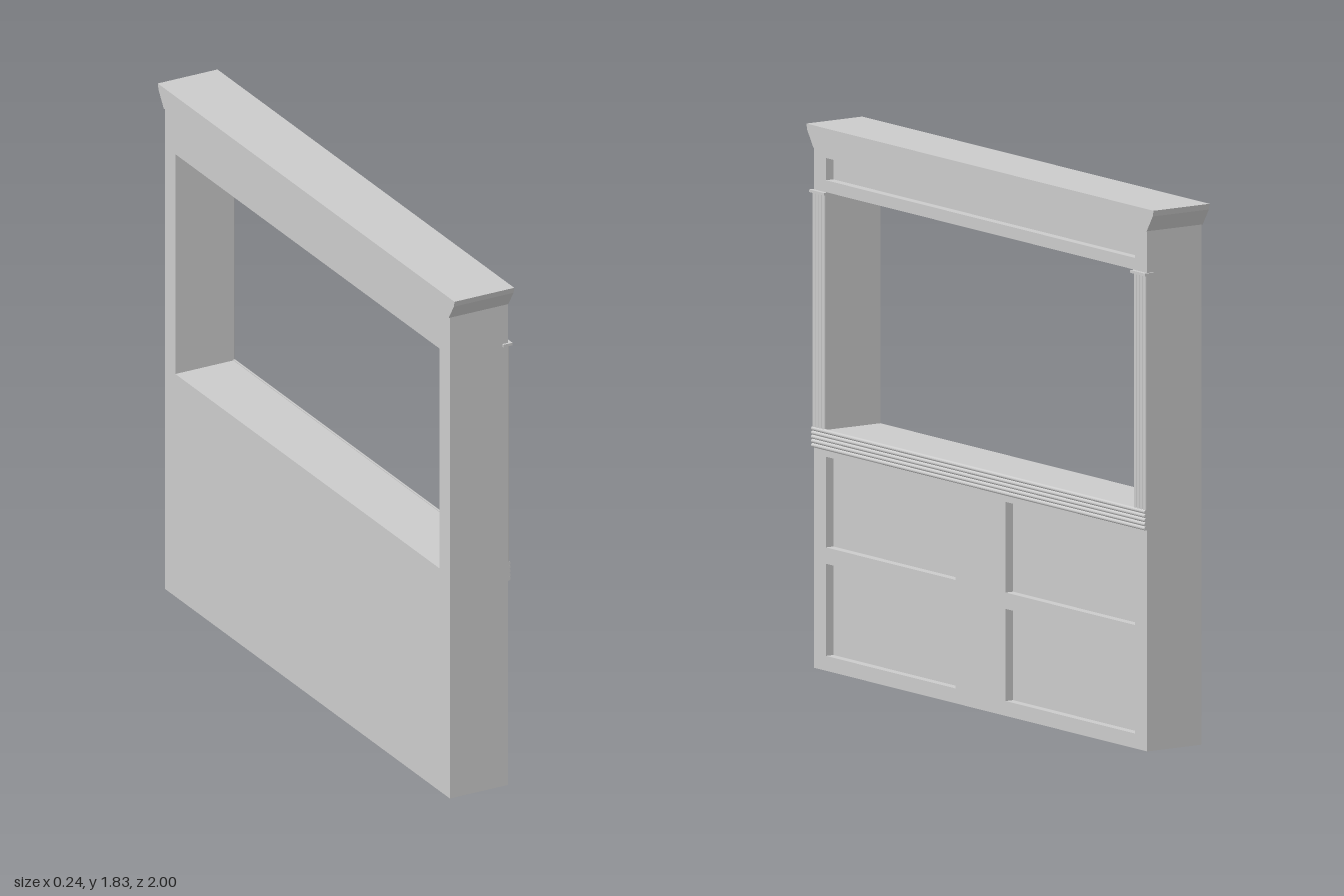
import * as THREE from 'three';

const material = new THREE.MeshStandardMaterial({ color: 0xcccccc });

// Rectangle outline in the (z, y) plane
function rect(z0, y0, z1, y1, PathType = THREE.Path) {
  const p = new PathType();
  p.moveTo(z0, y0);
  p.lineTo(z1, y0);
  p.lineTo(z1, y1);
  p.lineTo(z0, y1);
  p.closePath();
  return p;
}

// Extrude a (z, y) outline from x0 to x1
function slab(name, shape, x0, x1) {
  const geo = new THREE.ExtrudeGeometry(shape, { depth: x1 - x0, bevelEnabled: false });
  geo.rotateY(Math.PI / 2).translate(x0, 0, 0);
  const mesh = new THREE.Mesh(geo, material);
  mesh.name = name;
  return mesh;
}

// Strip of parallel rounded reeds: width along local x, relief along local y, length along local z
function reededStrip(width, length, count, base, relief) {
  const s = new THREE.Shape();
  const w = width / count;
  s.moveTo(-width / 2, 0);
  s.lineTo(width / 2, 0);
  s.lineTo(width / 2, base);
  for (let i = 0; i < count; i++) {
    s.absellipse(width / 2 - (i + 0.5) * w, base, w / 2, relief, 0, Math.PI, false, 0);
  }
  s.closePath();
  const geo = new THREE.ExtrudeGeometry(s, { depth: length, bevelEnabled: false, curveSegments: 6 });
  return geo.translate(0, 0, -length / 2);
}

export function createModel() {
  const group = new THREE.Group();
  const W = 0.96, TOP = 1.76, BACK = -0.115, FACE = 0.105, RECESS = 0.075;
  const opening = () => rect(-0.89, 0.81, 0.89, 1.61);

  // Carcass with the large opening
  const core = rect(-W, 0, W, TOP, THREE.Shape);
  core.holes.push(opening());
  group.add(slab('carcass', core, BACK, RECESS));

  // Face frame whose cut-outs form the recessed panels
  const frame = rect(-W, 0, W, TOP, THREE.Shape);
  frame.holes.push(opening(), rect(-0.89, 1.65, 0.89, 1.725));
  for (const [y0, y1] of [[0.05, 0.36], [0.415, 0.72]]) {
    frame.holes.push(rect(-0.89, y0, -0.145, y1), rect(0.145, y0, 0.89, y1));
  }
  group.add(slab('faceFrame', frame, RECESS, FACE));

  // Cornice flaring out at both ends
  const cornice = new THREE.Shape([
    [-W, 1.75], [W, 1.75], [0.995, 1.805], [1, 1.825], [-1, 1.825], [-0.995, 1.805],
  ].map(([z, y]) => new THREE.Vector2(z, y)));
  group.add(slab('cornice', cornice, -0.12, 0.107));

  // Reeded moulding below the opening
  const sill = new THREE.Mesh(reededStrip(0.07, 2 * W, 5, 0.004, 0.007), material);
  sill.geometry.rotateZ(-Math.PI / 2);
  sill.position.set(FACE, 0.778, 0);
  sill.name = 'sillMoulding';
  group.add(sill);

  // Reeded pilasters with thin caps beside the opening
  for (const side of [-1, 1]) {
    const geo = reededStrip(0.07, 0.79, 4, 0.002, 0.006);
    geo.rotateZ(-Math.PI / 2).rotateX(Math.PI / 2);
    const pilaster = new THREE.Mesh(geo, material);
    pilaster.position.set(FACE, 1.207, side * 0.925);
    pilaster.name = side > 0 ? 'leftPilaster' : 'rightPilaster';
    const cap = new THREE.Mesh(new THREE.BoxGeometry(0.035, 0.009, 0.085), material);
    cap.position.set(0.1015, 1.605, side * 0.925);
    cap.name = side > 0 ? 'leftPilasterCap' : 'rightPilasterCap';
    group.add(pilaster, cap);
  }

  return group;
}
